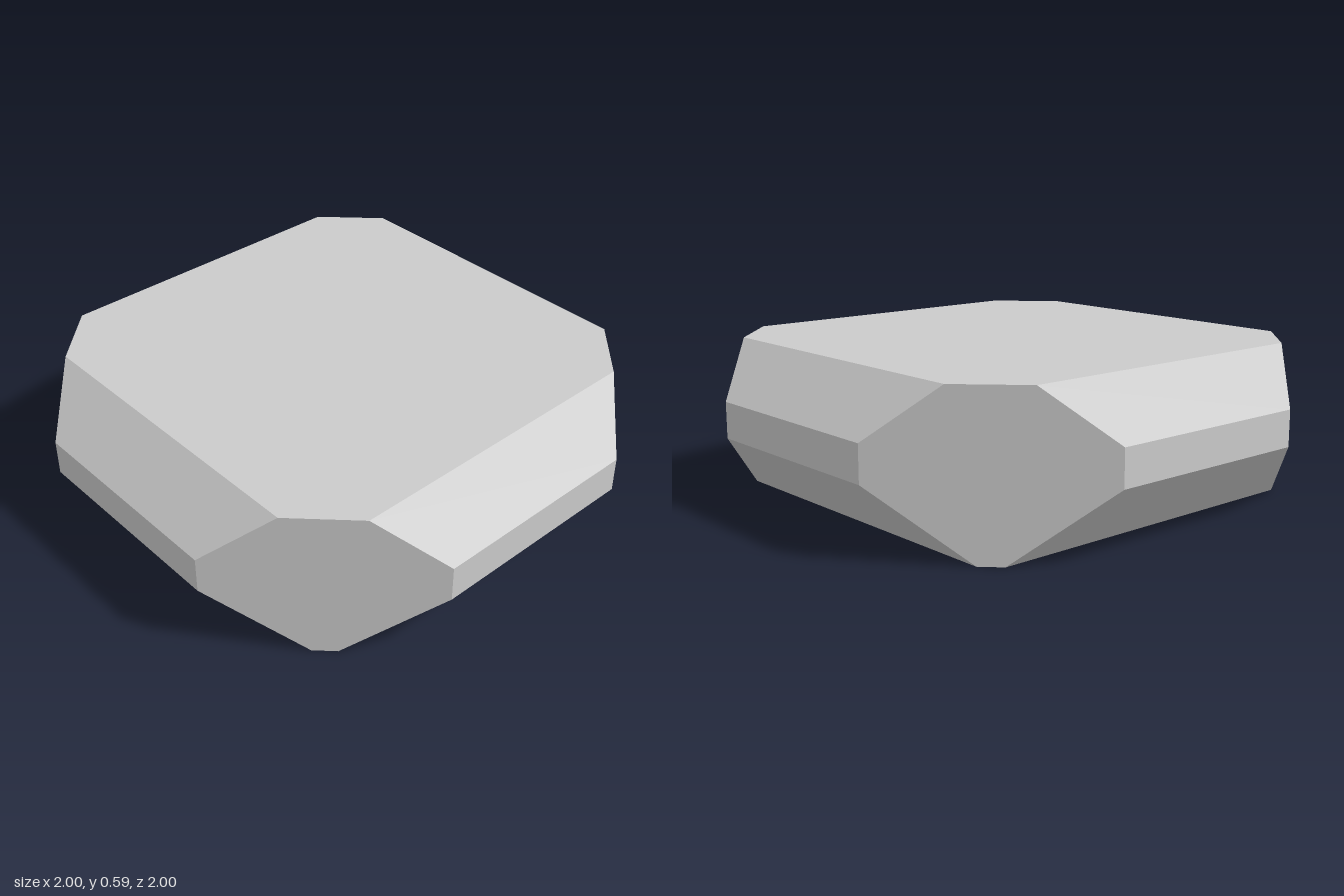
import * as THREE from 'three';

const CORNER = 1.415; // the vertical corner cuts lie on |x| + |z| = CORNER

// Eight-sided cross-section: a square of half-width h with its corners cut off
function section(y, h) {
  const k = CORNER - h;
  return [[h, -k], [h, k], [k, h], [-k, h], [-h, k], [-h, -k], [-k, -h], [k, -h]]
    .map(([x, z]) => [x, y, z]);
}

// Join sections from bottom to top with flat faces and close both ends
function loft(rings) {
  const positions = [];
  const tri = (...corners) => corners.forEach((p) => positions.push(...p));
  const n = rings[0].length;

  for (let i = 0; i < rings.length - 1; i++) {
    const low = rings[i], high = rings[i + 1];
    for (let j = 0; j < n; j++) {
      const k = (j + 1) % n;
      tri(low[j], high[j], high[k]);
      tri(low[j], high[k], low[k]);
    }
  }

  const bottom = rings[0], top = rings[rings.length - 1];
  for (let j = 1; j < n - 1; j++) {
    tri(bottom[0], bottom[j], bottom[j + 1]);
    tri(top[0], top[j + 1], top[j]);
  }

  const geometry = new THREE.BufferGeometry();
  geometry.setAttribute('position', new THREE.Float32BufferAttribute(positions, 3));
  geometry.computeVertexNormals();
  return geometry;
}

export function createModel() {
  const group = new THREE.Group();
  group.name = 'bevelledSlab';

  // Base, lower and upper edge of the girdle, top table
  const rings = [[0, 0.74], [0.26, 1], [0.395, 1], [0.586, 0.808]].map(([y, h]) => section(y, h));

  const body = new THREE.Mesh(
    loft(rings),
    new THREE.MeshStandardMaterial({ color: 0xcccccc, flatShading: true })
  );
  body.name = 'slabBody';
  group.add(body);
  return group;
}
